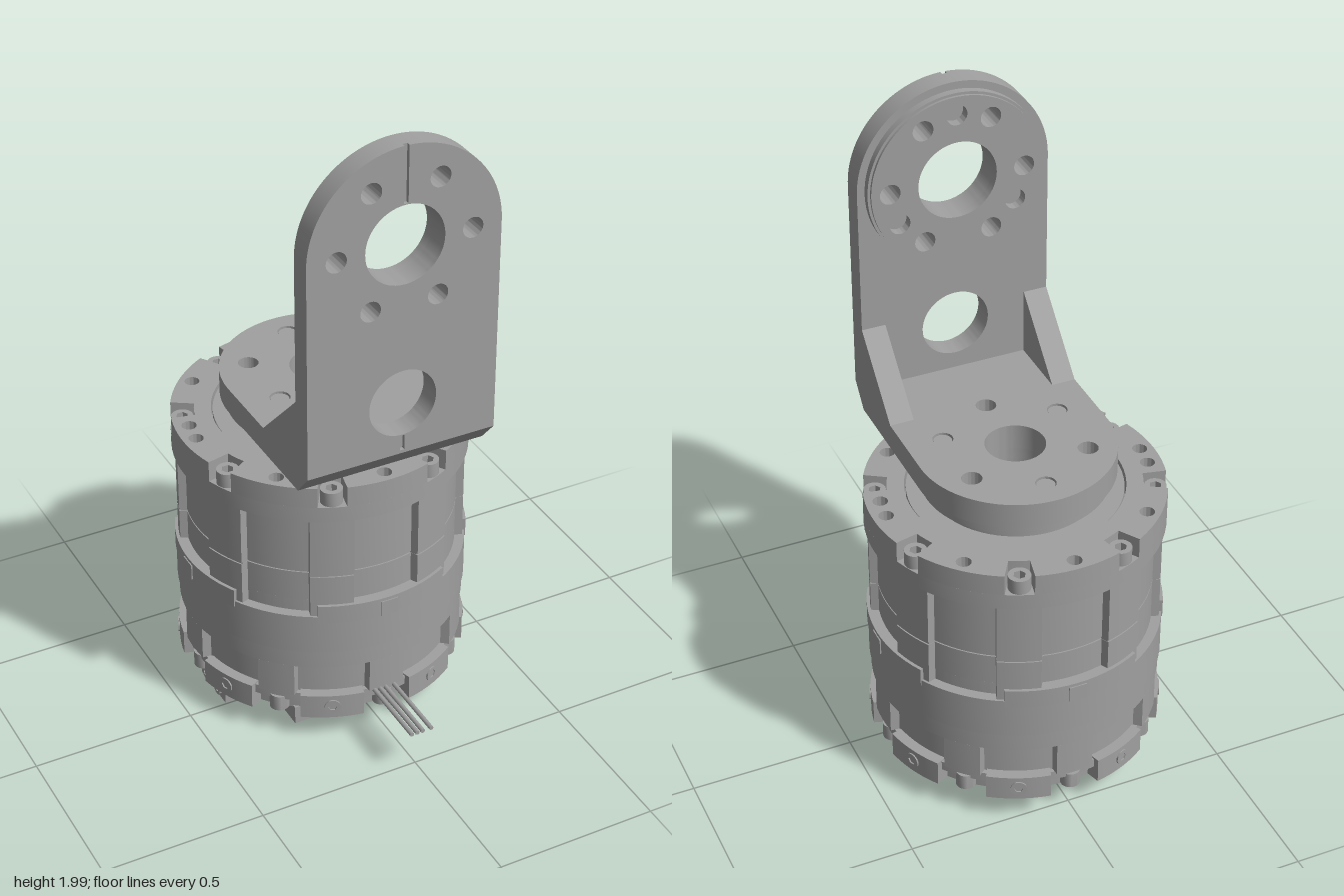
import * as THREE from 'three';
import { toCreasedNormals } from 'three/addons/utils/BufferGeometryUtils.js';

const grey = new THREE.MeshStandardMaterial({ color: 0xa0a0a0 });
grey.name = 'machined grey';
const DEG = Math.PI / 180;

function add(parent, name, geo, x = 0, y = 0, z = 0) {
  const m = new THREE.Mesh(geo, grey);
  m.name = name;
  m.position.set(x, y, z);
  parent.add(m);
  return m;
}

const circle = (r, x = 0, y = 0) => new THREE.Shape().absarc(x, y, r, 0, Math.PI * 2, false);

function extrude(shape, depth, holes = []) {
  shape.holes.push(...holes);
  const g = new THREE.ExtrudeGeometry(shape, { depth, bevelEnabled: false, curveSegments: 40 });
  return toCreasedNormals(g, 0.5);
}

// horizontal slab from y0 to y1; shape y runs towards -z
function slab(parent, name, shape, y0, y1, holes = []) {
  return add(parent, name, extrude(shape, y1 - y0, holes).rotateX(-Math.PI / 2), 0, y0, 0);
}

// round outline with n recesses of the given half angle, the first at angle offset
function lobed(n, rOut, rIn, half, offset = 0) {
  const pts = [], step = 360 / n;
  const arc = (r, from, to) => {
    const k = Math.max(2, Math.ceil((to - from) / 4));
    for (let i = 0; i <= k; i++) {
      const a = (from + (to - from) * i / k) * DEG;
      pts.push(new THREE.Vector2(r * Math.cos(a), r * Math.sin(a)));
    }
  };
  for (let i = 0; i < n; i++) {
    const c = offset + i * step;
    arc(rIn, c - half + 0.8, c + half - 0.8);
    arc(rOut, c + half, c + step - half);
  }
  return new THREE.Shape(pts);
}

// calls fn(x, y, angle) for n points round a circle
function ring(n, r, offset, fn) {
  for (let i = 0; i < n; i++) {
    const a = (offset + i * 360 / n) * DEG;
    fn(r * Math.cos(a), r * Math.sin(a), a);
  }
}

function ringHoles(n, r, offset, size) {
  const list = [];
  ring(n, r, offset, (x, y) => list.push(circle(size, x, y)));
  return list;
}

// socket screw head, axis along +z
function screwHead(r, h) {
  const hex = [];
  ring(6, r * 0.55, 0, (x, y) => hex.push(new THREE.Vector2(x, y)));
  const g = new THREE.ExtrudeGeometry(
    Object.assign(circle(r), { holes: [new THREE.Path(hex)] }),
    { depth: h, bevelEnabled: false, curveSegments: 10 });
  return toCreasedNormals(g, 0.7);
}

function buildMotor() {
  const g = new THREE.Group();
  g.name = 'motor';
  g.position.z = -0.11;
  const bore = () => circle(0.04);

  // lower housing
  slab(g, 'lowerHousing', lobed(8, 0.432, 0.405, 15, 22.5), 0.17, 0.28, [bore()]);
  slab(g, 'lowerBand', circle(0.432), 0.28, 0.34, [bore()]);
  slab(g, 'middleBand', circle(0.437), 0.34, 0.47, [bore()]);
  slab(g, 'bandTabs', lobed(4, 0.44, 0.407, 17, 45), 0.45, 0.51, [bore()]);
  ring(4, 0.437, 0, (x, z, a) => {
    add(g, 'bandKey', new THREE.BoxGeometry(0.012, 0.05, 0.055), x, 0.475, z).rotation.y = -a;
  });

  // ribbed upper housing in two halves with a thin seam
  slab(g, 'upperHousing', lobed(8, 0.43, 0.407, 14), 0.47, 0.608, [bore()]);
  slab(g, 'housingSeam', lobed(8, 0.426, 0.403, 14), 0.608, 0.613, [bore()]);
  slab(g, 'upperHousing', lobed(8, 0.43, 0.407, 14), 0.613, 0.81, [bore()]);

  // top flange with screw notches and small holes
  slab(g, 'flangeBase', circle(0.44), 0.81, 0.86, [bore()]);
  slab(g, 'flangeTop', lobed(8, 0.44, 0.37, 5.5, 22.5), 0.86, 0.925, [
    circle(0.32), ...ringHoles(8, 0.4, 0, 0.022),
    circle(0.022, -0.39, 0.07), circle(0.022, 0.39, -0.07)]);
  slab(g, 'flangeFloor', circle(0.315), 0.86, 0.918, [bore()]);
  ring(8, 0.405, 22.5, (x, z) => {
    add(g, 'flangeScrew', screwHead(0.033, 0.045).rotateX(-Math.PI / 2), x, 0.86, z);
  });

  // output rotor and hub screws
  slab(g, 'rotorNeck', circle(0.25), 0.918, 0.945, [circle(0.088)]);
  slab(g, 'rotorDisc', circle(0.275), 0.945, 0.98, [circle(0.088)]);
  ring(6, 0.065, 30, (x, z) => {
    add(g, 'hubScrew', screwHead(0.02, 0.025).rotateX(-Math.PI / 2), x, 0.915, z);
  });
  add(g, 'boreLining', toCreasedNormals(new THREE.CylinderGeometry(0.046, 0.046, 0.02, 24, 1, true), 0.5), 0, 0.92, 0);

  // castellated bottom skirt
  slab(g, 'skirtRing', circle(0.42), 0.14, 0.17, [circle(0.36)]);
  slab(g, 'skirtBlocks', lobed(8, 0.438, 0.395, 10), 0.095, 0.175, [circle(0.365)]);
  ring(8, 0.434, 22.5, (x, z, a) => {
    add(g, 'skirtSideScrew', screwHead(0.024, 0.008), x, 0.137, z).rotation.y = Math.PI / 2 - a;
  });
  ring(8, 0.4, 0, (x, z) => {
    add(g, 'skirtScrew', screwHead(0.03, 0.05).rotateX(Math.PI / 2), x, 0.15, z);
  });

  // circuit board and its components: x, z, width, depth, height
  slab(g, 'circuitBoard', circle(0.37), 0.1, 0.175, [bore()]);
  const chips = [
    [0.12, 0.1, 0.1, 0.1, 0.025], [-0.1, -0.14, 0.11, 0.09, 0.025], [0.15, -0.12, 0.07, 0.09, 0.03],
    [-0.05, 0.24, 0.14, 0.08, 0.03], [0.25, 0.02, 0.06, 0.08, 0.025], [0.03, -0.26, 0.12, 0.06, 0.03],
    [-0.15, 0.1, 0.07, 0.06, 0.02], [0.24, 0.17, 0.08, 0.05, 0.03], [-0.2, -0.25, 0.06, 0.06, 0.03]];
  for (const [x, z, w, d, h] of chips) add(g, 'chip', new THREE.BoxGeometry(w, h, d), x, 0.1 - h / 2, z);
  for (let i = 0; i < 22; i++) {
    const r = 0.09 + 0.23 * ((i * 0.618) % 1), a = i * 2.4;
    add(g, 'smallChip', new THREE.BoxGeometry(0.035, 0.016, 0.022), r * Math.cos(a), 0.092, r * Math.sin(a));
  }
  add(g, 'sidePlug', new THREE.BoxGeometry(0.1, 0.06, 0.1), -0.2, 0.07, 0.27);

  // cable connector
  add(g, 'connector', new THREE.BoxGeometry(0.14, 0.055, 0.17), -0.31, 0.038, 0.02);
  add(g, 'connectorBase', new THREE.BoxGeometry(0.1, 0.04, 0.14), -0.28, 0.083, 0.02);
  for (const z of [-0.02, 0.06]) add(g, 'connectorSocket', screwHead(0.022, 0.008), -0.38, 0.04, z).rotation.y = -Math.PI / 2;
  return g;
}

function buildBracket() {
  const g = new THREE.Group();
  g.name = 'bracket';
  const W = 0.293;

  // base plate, round at the back; the shape's y is -z
  const base = new THREE.Shape();
  base.moveTo(-W, -0.32).lineTo(W, -0.32).lineTo(W, 0.11).absarc(0, 0.11, W, 0, Math.PI, false);
  const baseHoles = [];
  ring(6, 0.208, 30, (x, y) => baseHoles.push(circle(0.03, x, y + 0.11)));
  slab(g, 'basePlate', base, 0.98, 1.06, [circle(0.088, 0, 0.11), ...baseHoles]);
  ring(6, 0.208, 30, (x, y, a) => {
    const dowel = Math.round(a / DEG - 30) % 120 === 60;
    if (dowel) add(g, 'dowelPin', new THREE.CylinderGeometry(0.027, 0.027, 0.07, 20), x, 1.02, -0.11 - y);
    else add(g, 'baseScrew', screwHead(0.029, 0.03).rotateX(-Math.PI / 2), x, 0.985, -0.11 - y);
  });

  // parts cut from a side profile of [z, y] points
  const side = (name, pts, x0, x1) => {
    const shape = new THREE.Shape(pts.map(p => new THREE.Vector2(...p)));
    add(g, name, extrude(shape, x1 - x0).rotateY(-Math.PI / 2), x1, 0, 0);
  };
  side('chamferedCorner', [[0.32, 0.98], [0.33, 0.98], [0.39, 1.05], [0.39, 1.06], [0.32, 1.06]], -W, W);
  for (const [a, b] of [[-W, -0.22], [0.22, W]]) {
    side('gusset', [[0.115, 1.06], [0.32, 1.06], [0.32, 1.265]], a, b);
  }

  // upright plate, its front layer split by a shallow groove
  const holes = () => [circle(0.12, 0, 1.71), circle(0.104, 0, 1.215),
    ...ringHoles(6, 0.205, 0, 0.031).map(h => {
      const c = h.curves[0];
      return circle(0.031, c.aX, c.aY + 1.71);
    })];
  const back = new THREE.Shape();
  back.moveTo(-W, 1.06).lineTo(W, 1.06).lineTo(W, 1.71).absarc(0, 1.71, W, 0, Math.PI, false);
  add(g, 'uprightPlate', extrude(back, 0.058, holes()), 0, 0, 0.32);
  const s = 0.007, t = Math.asin(s / W);
  const front = new THREE.Shape();
  front.moveTo(-W, 1.06).lineTo(-s, 1.06).lineTo(-s, 1.108).lineTo(s, 1.108).lineTo(s, 1.06).lineTo(W, 1.06)
    .lineTo(W, 1.71).absarc(0, 1.71, W, 0, Math.PI / 2 - t, false)
    .lineTo(s, 1.833).lineTo(-s, 1.833).absarc(0, 1.71, W, Math.PI / 2 + t, Math.PI, false);
  add(g, 'uprightFace', extrude(front, 0.012, holes()), 0, 0, 0.378);

  // mounting ring on the back of the upright
  const ringCuts = () => [circle(0.12), ...ringHoles(6, 0.205, 0, 0.031), ...ringHoles(3, 0.205, 90, 0.031)];
  add(g, 'mountingRing', extrude(circle(0.27), 0.022, ringCuts()), 0, 1.71, 0.298);
  add(g, 'mountingRingLip', extrude(circle(0.262), 0.008, ringCuts()), 0, 1.71, 0.29);
  return g;
}

export function createModel() {
  const model = new THREE.Group();
  model.name = 'motorWithBracket';
  model.add(buildMotor(), buildBracket());
  // cable leads
  for (const x of [-0.04, -0.022, -0.004, 0.024]) {
    add(model, 'wire', new THREE.CylinderGeometry(0.007, 0.007, 0.27, 8).rotateX(Math.PI / 2), x, 0.17, 0.415);
  }
  return model;
}
